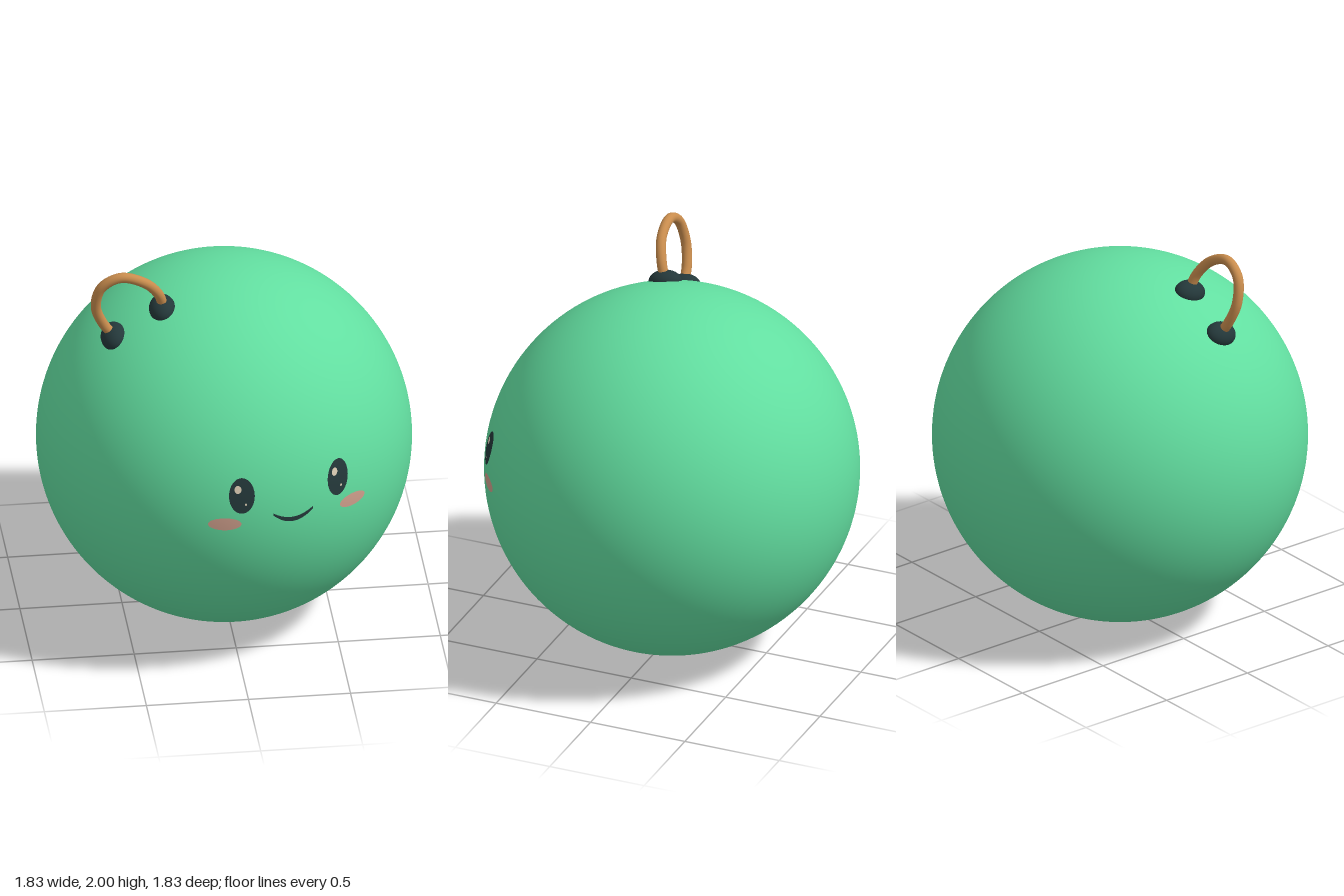
import * as THREE from 'three';

const R = 0.915; // ball radius, also the height of its centre

const mat = (name, color, side = THREE.FrontSide) => {
  const m = new THREE.MeshStandardMaterial({ color, side });
  m.name = name;
  return m;
};

// Lays flat geometry (x, y) onto the front of the ball, slightly raised
function wrapOnBall(geometry, lift) {
  const p = geometry.attributes.position;
  const r = R + lift;
  for (let i = 0; i < p.count; i++) {
    const x = p.getX(i), y = p.getY(i) - R;
    p.setXYZ(i, x, y + R, Math.sqrt(r * r - x * x - y * y));
  }
  geometry.computeVertexNormals();
  return geometry;
}

// Thin oval painted on the ball
function oval(x, y, rx, ry, lift) {
  const g = new THREE.RingGeometry(0.001, 1, 40, 6);
  g.scale(rx, ry, 1).translate(x, y, 0);
  return wrapOnBall(g, lift);
}

export function createModel() {
  const model = new THREE.Group();
  const green = mat('green', 0x62dea0);
  const dark = mat('dark slate', 0x24383a);
  const wood = mat('warm brown', 0xc98d4e);
  const blush = mat('blush', 0xcf9f8c);
  const cream = mat('cream', 0xdccdb4);

  const add = (name, geometry, material) => {
    const mesh = new THREE.Mesh(geometry, material);
    mesh.name = name;
    model.add(mesh);
    return mesh;
  };

  // Round body
  add('body', new THREE.SphereGeometry(R, 128, 80), green).position.y = R;

  // Face: eyes with two glints each, and cheeks
  const sides = [
    { name: 'right', x: -0.02, w: 0.063, cheekX: -0.105, cheekW: 0.081 },
    { name: 'left', x: 0.465, w: 0.053, cheekX: 0.54, cheekW: 0.066 },
  ];
  for (const s of sides) {
    add(s.name + 'Eye', oval(s.x, 1.088, s.w, 0.09, 0.003), dark);
    add(s.name + 'EyeGlint', oval(s.x - s.w * 0.3, 1.122, s.w * 0.27, 0.02, 0.005), cream);
    add(s.name + 'EyeSmallGlint', oval(s.x + s.w * 0.3, 1.045, s.w * 0.09, 0.006, 0.005), cream);
    add(s.name + 'Cheek', oval(s.cheekX, 0.942, s.cheekW, 0.033, 0.003), blush);
  }

  // Smile: a curved ribbon tapering to its ends
  const smile = new THREE.PlaneGeometry(2, 2, 32, 2);
  const sp = smile.attributes.position;
  for (let i = 0; i < sp.count; i++) {
    const u = sp.getX(i), v = sp.getY(i);
    sp.setXY(i, 0.235 + 0.1 * u, 0.937 + 0.04 * u * u + v * (0.012 - 0.006 * u * u));
  }
  add('smile', wrapOnBall(smile, 0.003), dark);

  // Domed mounts of the handle, aligned with the ball's surface
  for (const [name, x, z] of [['outerMount', -0.565, 0.18], ['innerMount', -0.325, 0.177]]) {
    const normal = new THREE.Vector3(x, Math.sqrt(R * R - x * x - z * z), z).normalize();
    const mount = add(name, new THREE.SphereGeometry(1, 32, 20), dark);
    mount.scale.set(0.065, 0.055, 0.084);
    mount.quaternion.setFromUnitVectors(new THREE.Vector3(0, 1, 0), normal);
    mount.position.copy(normal).multiplyScalar(R - 0.003);
    mount.position.y += R;
  }

  // Curved handle
  const path = new THREE.CatmullRomCurve3([
    [-0.565, 1.62, 0.18], [-0.615, 1.69, 0.188], [-0.653, 1.80, 0.21],
    [-0.627, 1.92, 0.235], [-0.535, 1.974, 0.245], [-0.415, 1.93, 0.235],
    [-0.345, 1.845, 0.205], [-0.32, 1.765, 0.18],
  ].map((p) => new THREE.Vector3(...p)));
  add('handle', new THREE.TubeGeometry(path, 64, 0.025, 16), wood);

  return model;
}
